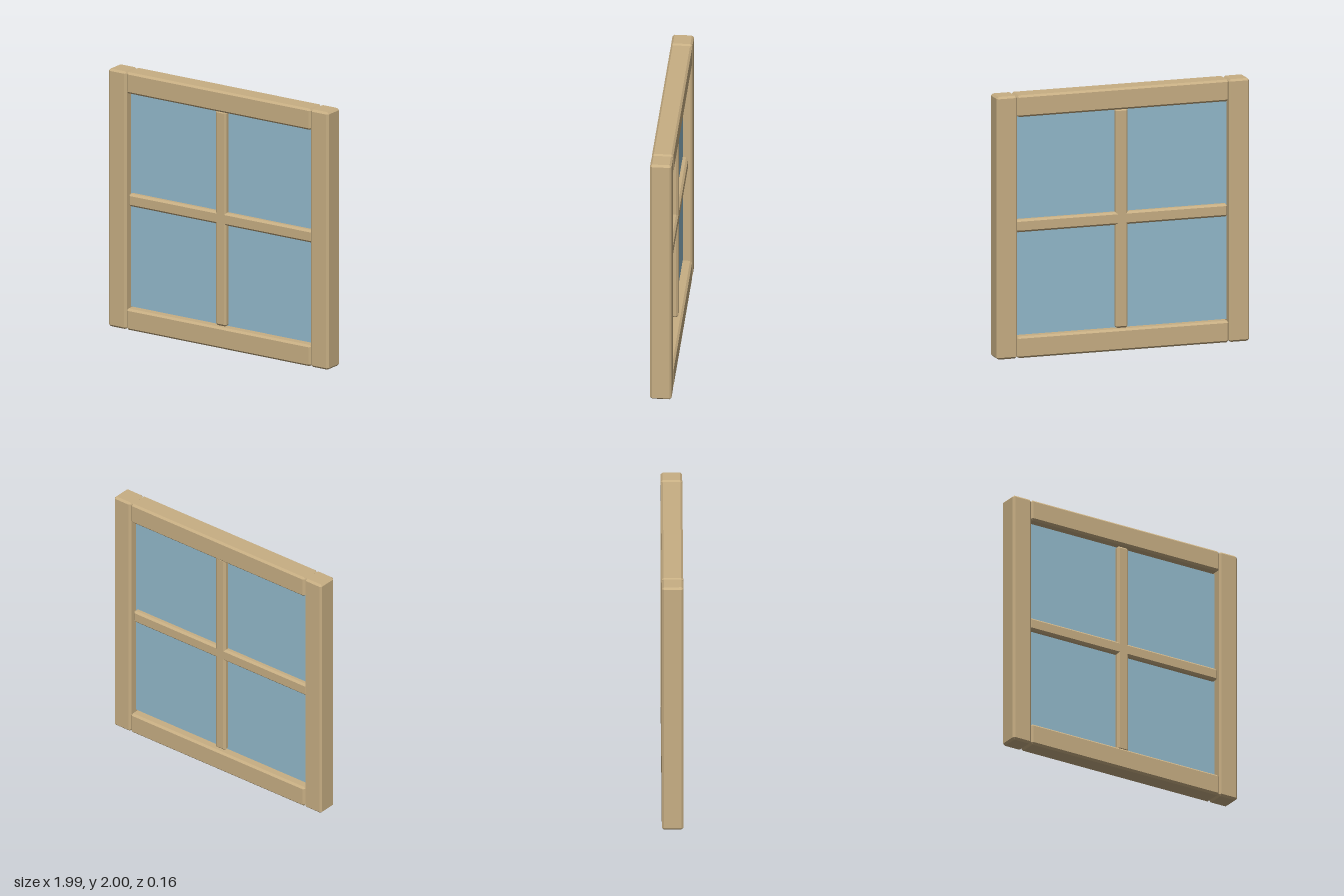
import * as THREE from 'three';
import { ConvexGeometry } from 'three/addons/geometries/ConvexGeometry.js';

const BEVEL = 0.015;

// Box with all twelve edges chamfered
function chamferedBox(w, h, d, b = BEVEL) {
  const half = [w / 2, h / 2, d / 2];
  const points = [];
  for (const sx of [-1, 1]) for (const sy of [-1, 1]) for (const sz of [-1, 1]) {
    const sign = [sx, sy, sz];
    // three points per corner, each lying on one of the faces meeting there
    for (let face = 0; face < 3; face++) {
      points.push(new THREE.Vector3(
        ...half.map((e, axis) => sign[axis] * (axis === face ? e : e - b))));
    }
  }
  return new ConvexGeometry(points);
}

export function createModel() {
  const wood = new THREE.MeshStandardMaterial({ color: 0xc7ae83 });
  wood.name = 'wood';
  const glass = new THREE.MeshStandardMaterial({ color: 0x92b9cb });
  glass.name = 'glass';

  const model = new THREE.Group();
  model.name = 'window';

  const add = (name, geometry, material, x, y) => {
    const mesh = new THREE.Mesh(geometry, material);
    mesh.name = name;
    mesh.position.set(x, y, 0);
    model.add(mesh);
  };

  // Outer frame: two full-height stiles with rails fitted between them
  const stile = chamferedBox(0.16, 2, 0.16);
  const rail = chamferedBox(1.665, 0.165, 0.16);
  add('leftStile', stile, wood, 0.913, 1);
  add('rightStile', stile, wood, -0.913, 1);
  add('topRail', rail, wood, 0, 1.9175);
  add('bottomRail', rail, wood, 0, 0.0825);

  // Crossed glazing bars
  add('verticalBar', chamferedBox(0.097, 1.67, 0.1), wood, 0, 1);
  add('horizontalBar', chamferedBox(1.665, 0.097, 0.1), wood, 0, 1);

  // Glass pane
  add('pane', new THREE.BoxGeometry(1.666, 1.67, 0.02), glass, 0, 1);

  return model;
}
